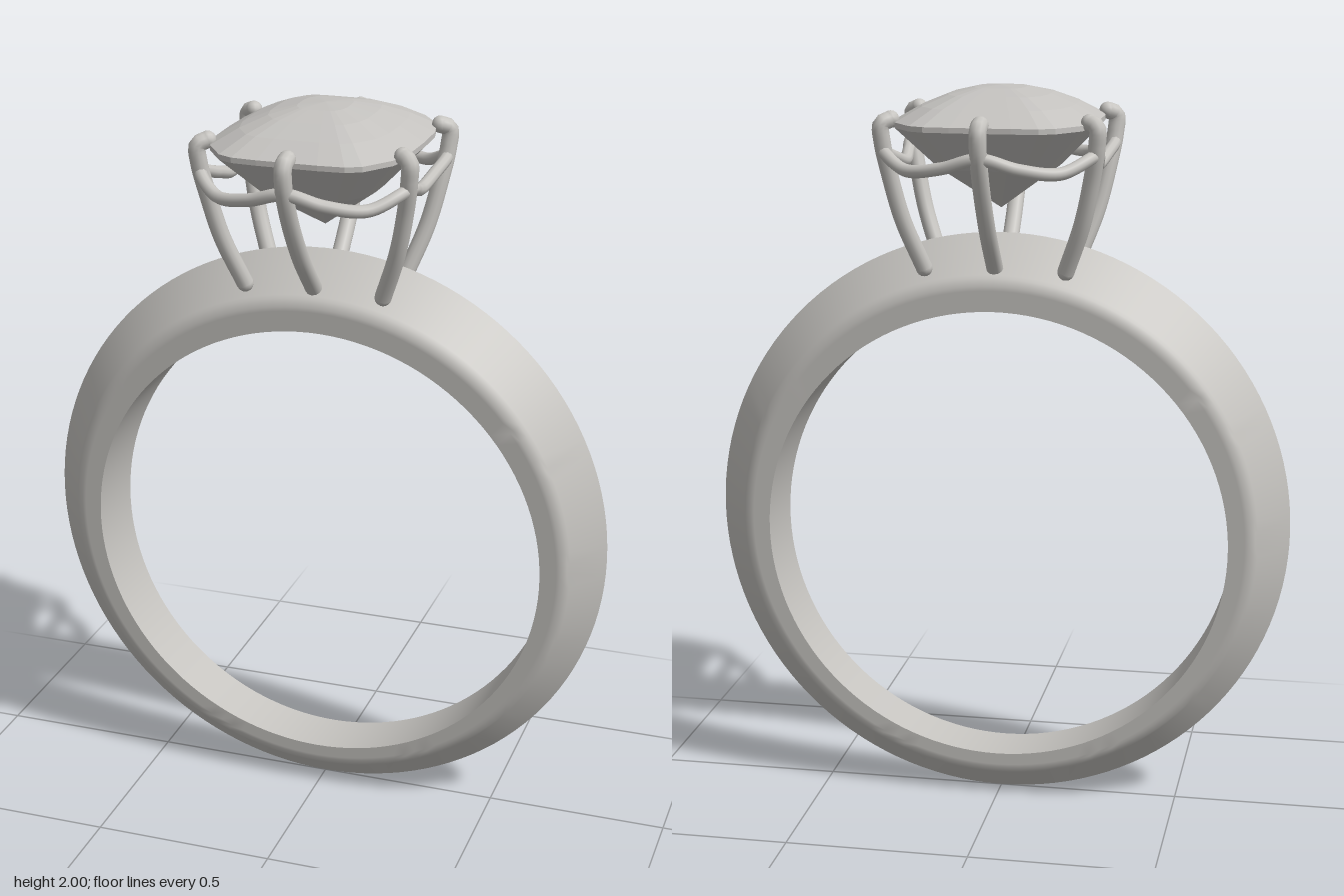
import * as THREE from 'three';
import { toCreasedNormals } from 'three/addons/utils/BufferGeometryUtils.js';

const metal = new THREE.MeshStandardMaterial({ color: 0xc6c4c0 });
metal.name = 'polished metal';
const gem = new THREE.MeshStandardMaterial({ color: 0xc4c2bf });
gem.name = 'cut stone';

// Closed skin over sections that run around the part; each section is a list of points
function skin(sections, crease) {
  const n = sections.length, m = sections[0].length, index = [];
  for (let i = 0; i < n; i++) {
    const a = i * m, b = ((i + 1) % n) * m;
    for (let j = 0; j < m - 1; j++) {
      index.push(a + j, a + j + 1, b + j, b + j, a + j + 1, b + j + 1);
    }
  }
  const geo = new THREE.BufferGeometry();
  geo.setAttribute('position', new THREE.Float32BufferAttribute(sections.flat(2), 3));
  geo.setIndex(index);
  return toCreasedNormals(geo, crease);
}

function add(parent, name, geo, material) {
  const mesh = new THREE.Mesh(geo, material);
  mesh.name = name;
  parent.add(mesh);
  return mesh;
}

// Knife-edge band, wider and deeper at the top
function bandGeometry() {
  // circle centre height, circle radius, share of the half width
  const half = [
    [0.805, 0.8, 0], [0.788, 0.719, 0.85], [0.7866, 0.7126, 0.92],
    [0.784, 0.695, 1], [0.782, 0.685, 1], [0.77, 0.64, 1],
  ];
  const profile = [...half, ...half.slice().reverse().map(([c, r, k]) => [c, r, -k])];
  const sections = [];
  const steps = 128;
  for (let i = 0; i < steps; i++) {
    const a = (i / steps) * Math.PI * 2;
    sections.push(profile.map(([c, r, k]) => {
      const y = c + r * Math.cos(a);
      return [r * Math.sin(a), y, k * (0.075 + 0.0437 * (y - 0.08))];
    }));
  }
  return skin(sections, 0.6);
}

// Faceted cushion stone: domed crown, thin girdle, pointed pavilion
function stoneGeometry() {
  const q = [[0, 0.305], [0.08, 0.305], [0.15, 0.3], [0.19, 0.28], [0.245, 0.2], [0.265, 0.11], [0.268, 0]];
  const right = [...q, ...q.slice(0, -1).reverse().map(([x, z]) => [x, -z])];
  const outline = [...right, ...right.slice(1, -1).reverse().map(([x, z]) => [-x, z])];
  // share of the outline, height
  const profile = [
    [0, 2], [0.25, 1.995], [0.5, 1.979], [0.75, 1.952], [1, 1.914],
    [1, 1.9], [0.6, 1.79], [0, 1.672],
  ];
  return skin(outline.map(([x, z]) => profile.map(([s, y]) => [x * s, y, z * s])), 0.01);
}

// Round wire claw with domed ends
function prong(parent, name, points) {
  const claw = new THREE.Group();
  claw.name = name;
  const path = points.map((p) => new THREE.Vector3(...p));
  add(claw, 'clawWire', new THREE.TubeGeometry(new THREE.CatmullRomCurve3(path), 40, 0.023, 12), metal);
  for (const end of [path[0], path[path.length - 1]]) {
    add(claw, 'clawEnd', new THREE.SphereGeometry(0.023, 12, 8), metal).position.copy(end);
  }
  parent.add(claw);
}

export function createModel() {
  const ring = new THREE.Group();
  ring.name = 'ring';
  add(ring, 'band', bandGeometry(), metal);
  add(ring, 'stone', stoneGeometry(), gem);

  // Six claws: one at the front and back, two on each side
  const setting = new THREE.Group();
  setting.name = 'setting';
  ring.add(setting);
  const middle = [[0, 1.52, 0.095], [0, 1.64, 0.205], [0, 1.77, 0.292], [0, 1.86, 0.33], [0, 1.91, 0.33], [0, 1.922, 0.3]];
  const corner = [
    [0.192, 1.518, 0.1], [0.24, 1.65, 0.138], [0.268, 1.77, 0.163],
    [0.283, 1.86, 0.183], [0.284, 1.908, 0.187], [0.262, 1.92, 0.172],
  ];
  for (const sz of [1, -1]) {
    const end = sz > 0 ? 'front' : 'back';
    prong(setting, end + 'Claw', middle.map(([x, y, z]) => [x, y, z * sz]));
    for (const sx of [1, -1]) {
      prong(setting, end + (sx > 0 ? 'Left' : 'Right') + 'Claw',
        corner.map(([x, y, z]) => [x * sx, y, z * sz]));
    }
  }

  // Wavy gallery wire that rises at each claw
  const q = [[0, 1.837, 0.322], [0.1, 1.81, 0.305], [0.2, 1.798, 0.265], [0.28, 1.835, 0.18], [0.273, 1.81, 0.08], [0.264, 1.793, 0]];
  const side = [...q, ...q.slice(0, -1).reverse().map(([x, y, z]) => [x, y, -z])];
  const loop = [...side, ...side.slice(1, -1).reverse().map(([x, y, z]) => [-x, y, z])];
  const wire = new THREE.CatmullRomCurve3(loop.map((p) => new THREE.Vector3(...p)), true);
  add(setting, 'galleryWire', new THREE.TubeGeometry(wire, 160, 0.017, 10, true), metal);
  return ring;
}
